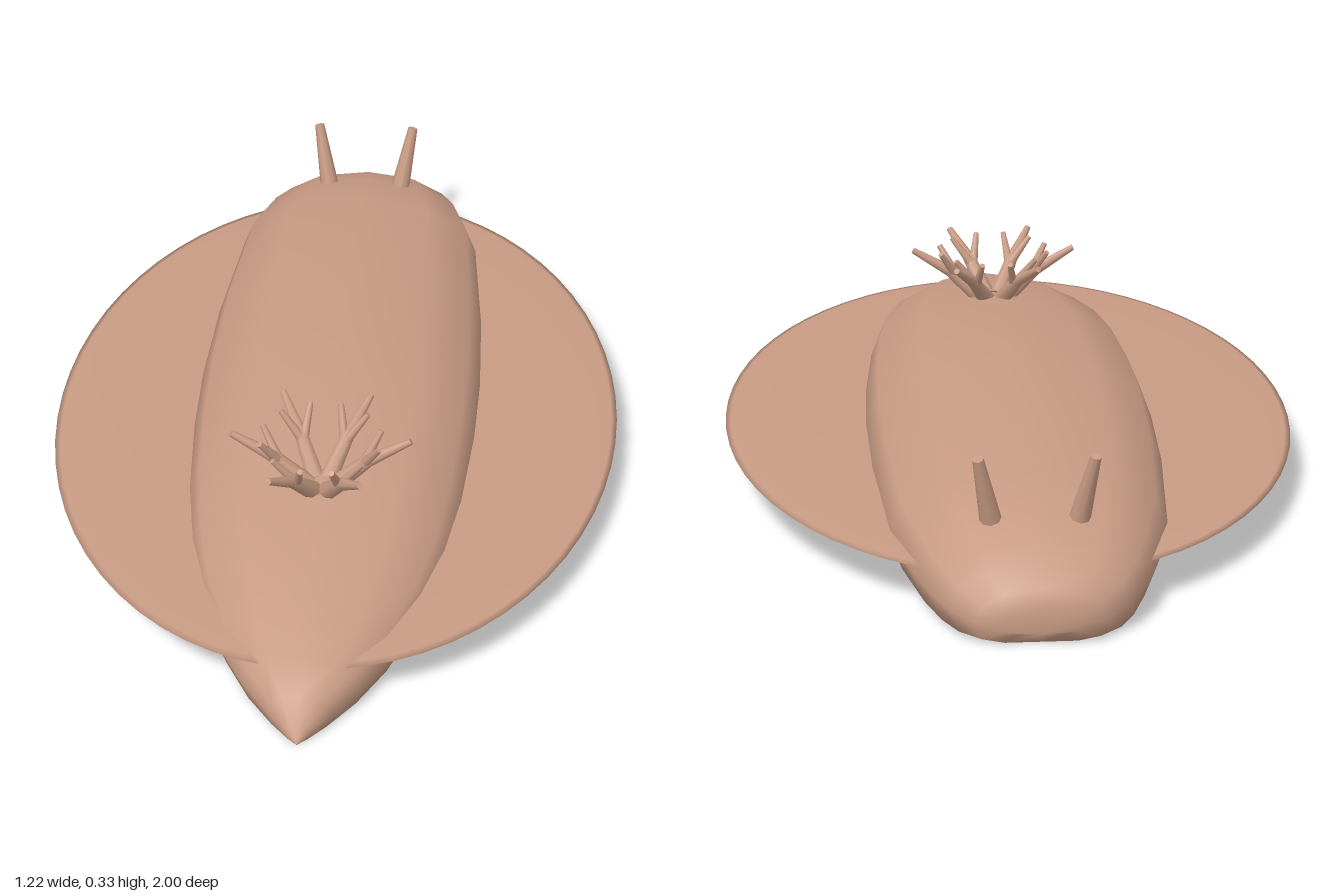
import * as THREE from 'three';

const skin = new THREE.MeshStandardMaterial({ color: 0xc89b84 });
skin.name = 'clay skin';

// Loft a flat-soled cross-section along z; stations are [z, halfWidth, height, sole].
function bodyGeometry() {
  const half = [[0, 0], [0.56, 0], [0.9, 0.08], [1, 0.4], [0.9, 0.7], [0.57, 0.91], [0, 1]];
  const section = [...half, ...half.slice(1, -1).reverse().map(([x, y]) => [-x, y])];
  const stations = [
    [-1, 0.08, 0.08, 0.025], [-0.985, 0.125, 0.11, 0.002], [-0.95, 0.172, 0.145, 0],
    [-0.9, 0.205, 0.172, 0], [-0.82, 0.238, 0.2, 0], [-0.67, 0.28, 0.23, 0],
    [-0.35, 0.305, 0.246, 0], [-0.1, 0.312, 0.25, 0], [0.1, 0.308, 0.247, 0],
    [0.33, 0.293, 0.23, 0], [0.5, 0.27, 0.207, 0], [0.65, 0.232, 0.18, 0],
    [0.78, 0.178, 0.148, 0], [0.88, 0.118, 0.118, 0], [0.95, 0.06, 0.08, 0],
    [0.985, 0.022, 0.03, 0], [1, 0.001, 0.002, 0],
  ];
  const n = section.length, pos = [], idx = [];
  for (const [z, w, top, sole] of stations)
    for (const [x, y] of section) pos.push(x * w, sole + y * (top - sole), z);
  for (let s = 0; s < stations.length - 1; s++)
    for (let i = 0; i < n; i++) {
      const a = s * n + i, b = s * n + (i + 1) % n;
      idx.push(a, b, b + n, a, b + n, a + n);
    }
  // Close both ends with fans
  const last = (stations.length - 1) * n;
  for (let i = 1; i < n - 1; i++) {
    idx.push(0, i + 1, i);
    idx.push(last, last + i, last + i + 1);
  }
  const g = new THREE.BufferGeometry();
  g.setAttribute('position', new THREE.Float32BufferAttribute(pos, 3));
  g.setIndex(idx);
  g.computeVertexNormals();
  return g;
}

// Tapered rod between two points
function rod(name, from, to, r0, r1) {
  const a = new THREE.Vector3(...from), b = new THREE.Vector3(...to);
  const d = b.clone().sub(a);
  const m = new THREE.Mesh(new THREE.CylinderGeometry(r1, r0, d.length(), 8), skin);
  m.name = name;
  m.position.copy(a).add(b).multiplyScalar(0.5);
  m.quaternion.setFromUnitVectors(new THREE.Vector3(0, 1, 0), d.normalize());
  return m;
}

export function createModel() {
  const model = new THREE.Group();
  model.name = 'seaSlug';

  const body = new THREE.Mesh(bodyGeometry(), skin);
  body.name = 'body';
  model.add(body);

  // Thin oval skirt passing through the body
  const mantle = new THREE.Mesh(new THREE.SphereGeometry(1, 64, 16), skin);
  mantle.name = 'mantle';
  mantle.scale.set(0.612, 0.013, 0.895);
  mantle.position.set(0, 0.097, -0.006);
  model.add(mantle);

  // Pair of head tentacles
  for (const s of [-1, 1])
    model.add(rod(s > 0 ? 'leftTentacle' : 'rightTentacle',
      [s * 0.085, 0.18, -0.82], [s * 0.112, 0.325, -0.858], 0.022, 0.011));

  // Ring of six branching gills
  const gills = new THREE.Group();
  gills.name = 'gills';
  gills.position.set(0, 0, 0.43);
  for (let i = 0; i < 6; i++) {
    const plume = new THREE.Group();
    plume.name = 'gillPlume';
    plume.rotation.y = i * Math.PI / 3;
    plume.add(rod('gillStem', [0.025, 0.205, 0], [0.1, 0.275, 0], 0.02, 0.014));
    plume.add(rod('gillTip', [0.095, 0.271, 0], [0.184, 0.325, 0], 0.014, 0.007));
    for (const s of [-1, 1])
      plume.add(rod('gillTwig', [0.085, 0.262, 0], [0.122, 0.325, s * 0.034], 0.011, 0.006));
    gills.add(plume);
  }
  model.add(gills);

  return model;
}
